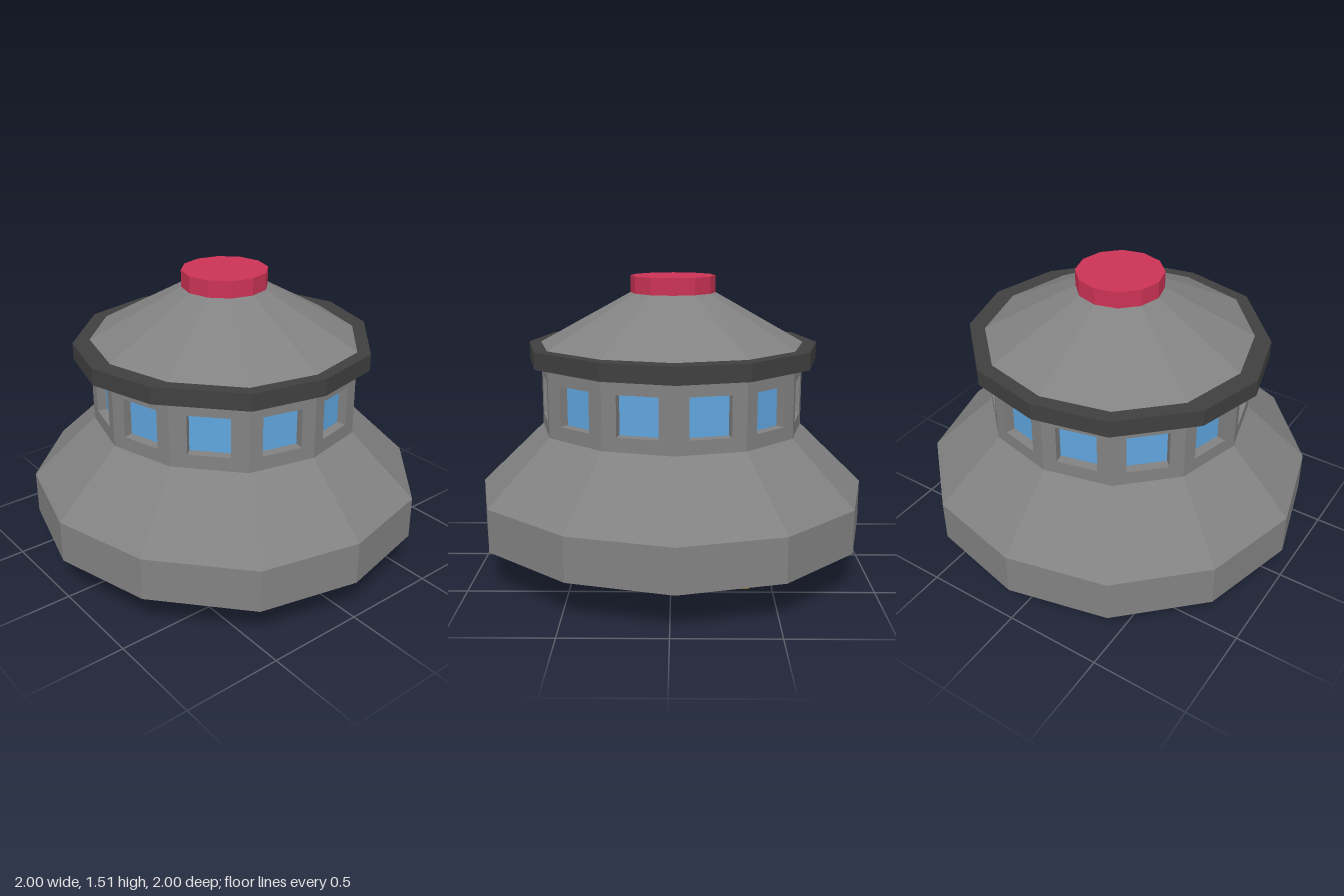
import * as THREE from 'three';

const GREY = 0x828282, DARK = 0x404040, BLUE = 0x5fa5de, GOLD = 0xd4aa24, RED = 0xcc3355;

const mat = (color) => new THREE.MeshStandardMaterial({ color, flatShading: true });

function mesh(name, geometry, color) {
  const m = new THREE.Mesh(geometry, mat(color));
  m.name = name;
  return m;
}

// Twelve-sided outline from half of its points (+x round the front to -x), mirrored in z
function outline(xs, zs) {
  const half = xs.map((x, i) => [x, zs[i < 4 ? i : 6 - i]]);
  const back = half.slice(1, 6).reverse().map(([x, z]) => [x, -z]);
  return [...half, ...back];
}

const BODY = outline([1, 0.884, 0.473, -0.025, -0.525, -0.884, -1], [0, 0.5, 0.866, 1]);
const EAVES = outline([0.735, 0.655, 0.316, -0.026, -0.364, -0.665, -0.745], [0, 0.37, 0.676, 0.77]);
const CAP = Array.from({ length: 12 }, (_, i) => {
  const a = i * Math.PI / 6;
  return [-0.007 + 0.217 * Math.cos(a), 0.217 * Math.sin(a)];
});

// Skin between stacked outlines; each row is [outline, scale, y]
function loft(rows) {
  const pos = [];
  const at = ([poly, s, y], i) => [poly[i % 12][0] * s, y, poly[i % 12][1] * s];
  for (let r = 0; r < rows.length - 1; r++) {
    for (let i = 0; i < 12; i++) {
      const a = at(rows[r], i), b = at(rows[r], i + 1);
      const c = at(rows[r + 1], i), d = at(rows[r + 1], i + 1);
      if (rows[r][1] > 0) pos.push(...a, ...c, ...b);
      if (rows[r + 1][1] > 0) pos.push(...b, ...c, ...d);
    }
  }
  const g = new THREE.BufferGeometry();
  g.setAttribute('position', new THREE.Float32BufferAttribute(pos, 3));
  g.computeVertexNormals();
  return g;
}

const WALL = 0.675, WALL_BOTTOM = 0.74, WALL_TOP = 1.085, INNER = 0.87;

// One wall facet with a recessed window
function windowPanel(p, q) {
  const dx = p[0] - q[0], dz = p[1] - q[1];
  const w = Math.hypot(dx, dz), depth = 0.05, hw = 0.102, y0 = 0.81, y1 = 1.01;
  const rect = (s, x, a, b) => s.moveTo(-x, a).lineTo(x, a).lineTo(x, b).lineTo(-x, b).closePath();
  const shape = rect(new THREE.Shape(), w / 2, WALL_BOTTOM, WALL_TOP);
  shape.holes.push(rect(new THREE.Path(), hw, y0, y1));
  const wall = new THREE.ExtrudeGeometry(shape, { depth, bevelEnabled: false }).translate(0, 0, -depth);
  const glass = new THREE.PlaneGeometry(hw * 2, y1 - y0).translate(0, (y0 + y1) / 2, -depth + 0.002);

  const panel = new THREE.Group();
  panel.name = 'windowPanel';
  panel.add(mesh('wall', wall, GREY), mesh('windowGlass', glass, BLUE));
  panel.position.set((p[0] + q[0]) / 2, 0, (p[1] + q[1]) / 2);
  panel.rotation.y = Math.atan2(-dz, dx);
  return panel;
}

export function createModel() {
  const model = new THREE.Group();

  // Flared skirt, hollow underneath
  model.add(
    mesh('skirt', loft([[BODY, 1, 0.205], [BODY, 1, 0.425], [BODY, WALL, WALL_BOTTOM]]), GREY),
    mesh('skirtRim', loft([[BODY, INNER, 0.205], [BODY, 1, 0.205]]), DARK),
    mesh('skirtInnerWall', loft([[BODY, INNER, 0.425], [BODY, INNER, 0.205]]), GREY),
    mesh('underside', loft([[BODY, 0, 0.425], [BODY, INNER, 0.425]]), DARK),
  );

  // Ring of windows
  const corners = BODY.map(([x, z]) => [x * WALL, z * WALL]);
  corners.forEach((p, i) => model.add(windowPanel(p, corners[(i + 1) % 12])));

  // Eaves, roof and cap
  model.add(
    mesh('eaves', loft([[BODY, WALL - 0.03, WALL_TOP], [EAVES, 1, WALL_TOP], [EAVES, 1, 1.17], [BODY, WALL - 0.01, 1.17]]), DARK),
    mesh('roof', loft([[BODY, WALL, 1.17], [CAP, 1, 1.425]]), GREY),
    mesh('roofCap', loft([[CAP, 1, 1.425], [CAP, 1, 1.51], [CAP, 0, 1.51]]), RED),
  );

  // Three faceted balls below, each a pair mirrored front to back
  const R = 0.352;
  const ball = new THREE.IcosahedronGeometry(R, 1).rotateX(-Math.PI / 2 + Math.atan(2 / (1 + Math.sqrt(5))));
  for (const [x, z] of [[0.43, 0], [-0.262, 0.4], [-0.262, -0.4]]) {
    const pair = new THREE.Group();
    pair.name = 'landingBall';
    for (const side of [1, -1]) {
      const half = mesh('ball', ball, GOLD);
      half.position.z = side * 0.035;
      half.rotation.y = side > 0 ? 0 : Math.PI;
      pair.add(half);
    }
    pair.position.set(x, R + 0.003, z);
    model.add(pair);
  }
  return model;
}
